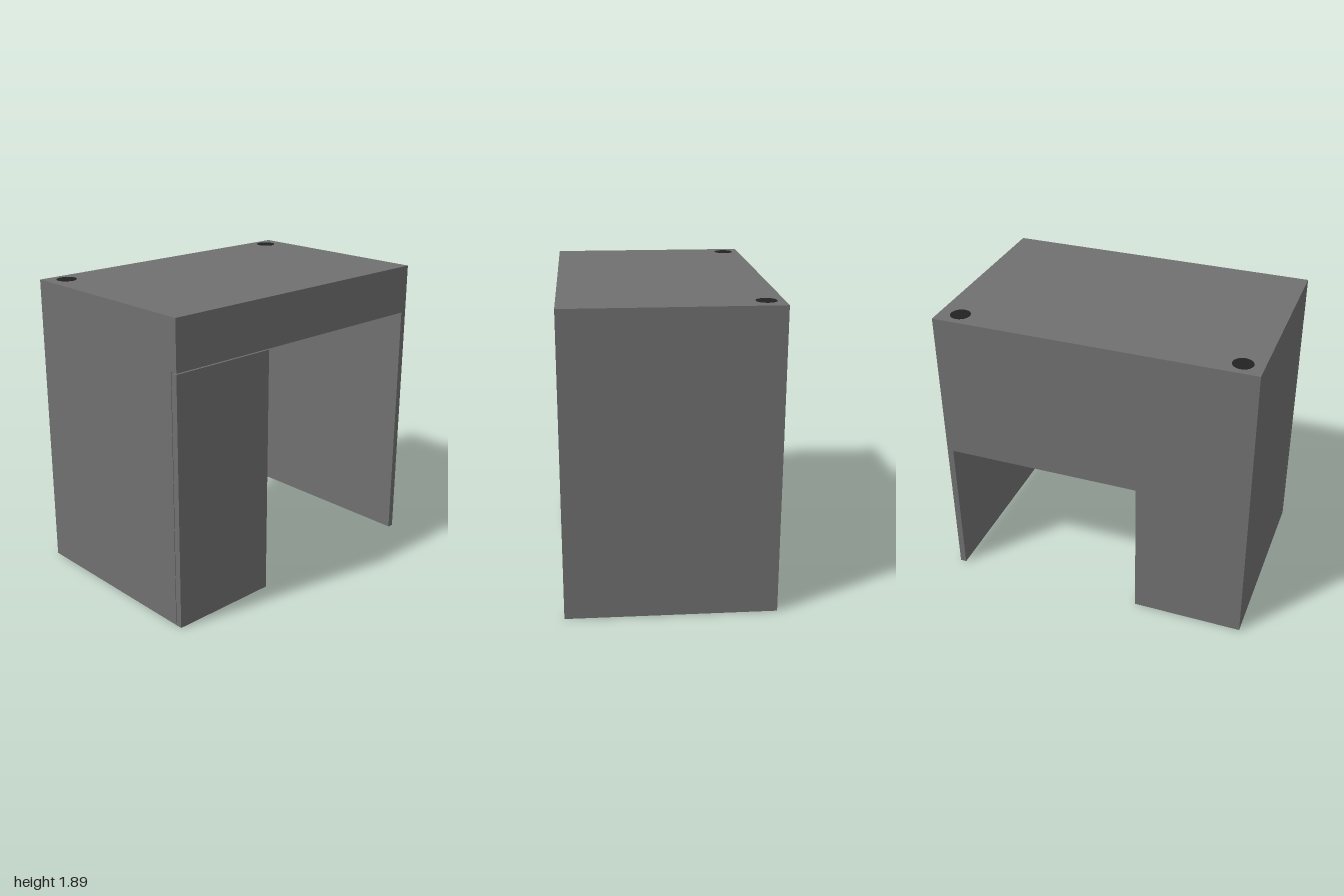
import * as THREE from 'three';

const W = 0.645, H = 1.89, APRON = 1.58; // half depth, height, underside of the top

export function createModel() {
  const desk = new THREE.Group();
  desk.name = 'desk';
  const body = new THREE.MeshStandardMaterial({ color: 0x707070 });
  const dark = new THREE.MeshStandardMaterial({ color: 0x222222 });

  // Box given by its limits on each axis
  function panel(name, [x0, x1], [y0, y1], [z0, z1], parent = desk) {
    const mesh = new THREE.Mesh(new THREE.BoxGeometry(x1 - x0, y1 - y0, z1 - z0), body);
    mesh.position.set((x0 + x1) / 2, (y0 + y1) / 2, (z0 + z1) / 2);
    mesh.name = name;
    parent.add(mesh);
    return mesh;
  }

  // Thick top, slab leg and the panel closing the upper part of the kneehole
  panel('desktop', [-W, W], [APRON, H], [-1, 1]);
  panel('legPanel', [-W, W], [0, APRON], [-1, -0.96]);
  panel('modestyPanel', [-W, -W + 0.04], [0.94, APRON], [-0.96, 0.29]);

  // Hollow pedestal: thin walls around a raised floor that stops short of the back
  const pedestal = new THREE.Group();
  pedestal.name = 'pedestal';
  desk.add(pedestal);
  const t = 0.004;
  panel('outerWall', [-W, 0.6], [0, APRON], [1 - t, 1], pedestal);
  panel('innerWall', [-W, 0.6], [0, APRON], [0.29, 0.29 + t], pedestal);
  panel('backWall', [-W, -W + t], [0, APRON], [0.29 + t, 1 - t], pedestal);
  panel('frontWall', [0.6 - t, 0.6], [0, APRON], [0.29 + t, 1 - t], pedestal);
  panel('floor', [-0.585, 0.6 - t], [0.063, 0.1], [0.29 + t, 1 - t], pedestal);

  // Door, set off by a fine gap
  panel('door', [0.604, W], [0, APRON - 0.006], [0.29, 1], pedestal);

  // Cable grommets along the back edge of the top
  for (const z of [-0.865, 0.875]) {
    const grommet = new THREE.Mesh(new THREE.CylinderGeometry(0.062, 0.062, 0.02, 32), dark);
    grommet.position.set(-0.54, H - 0.008, z);
    grommet.name = 'cableGrommet';
    desk.add(grommet);
  }
  return desk;
}
